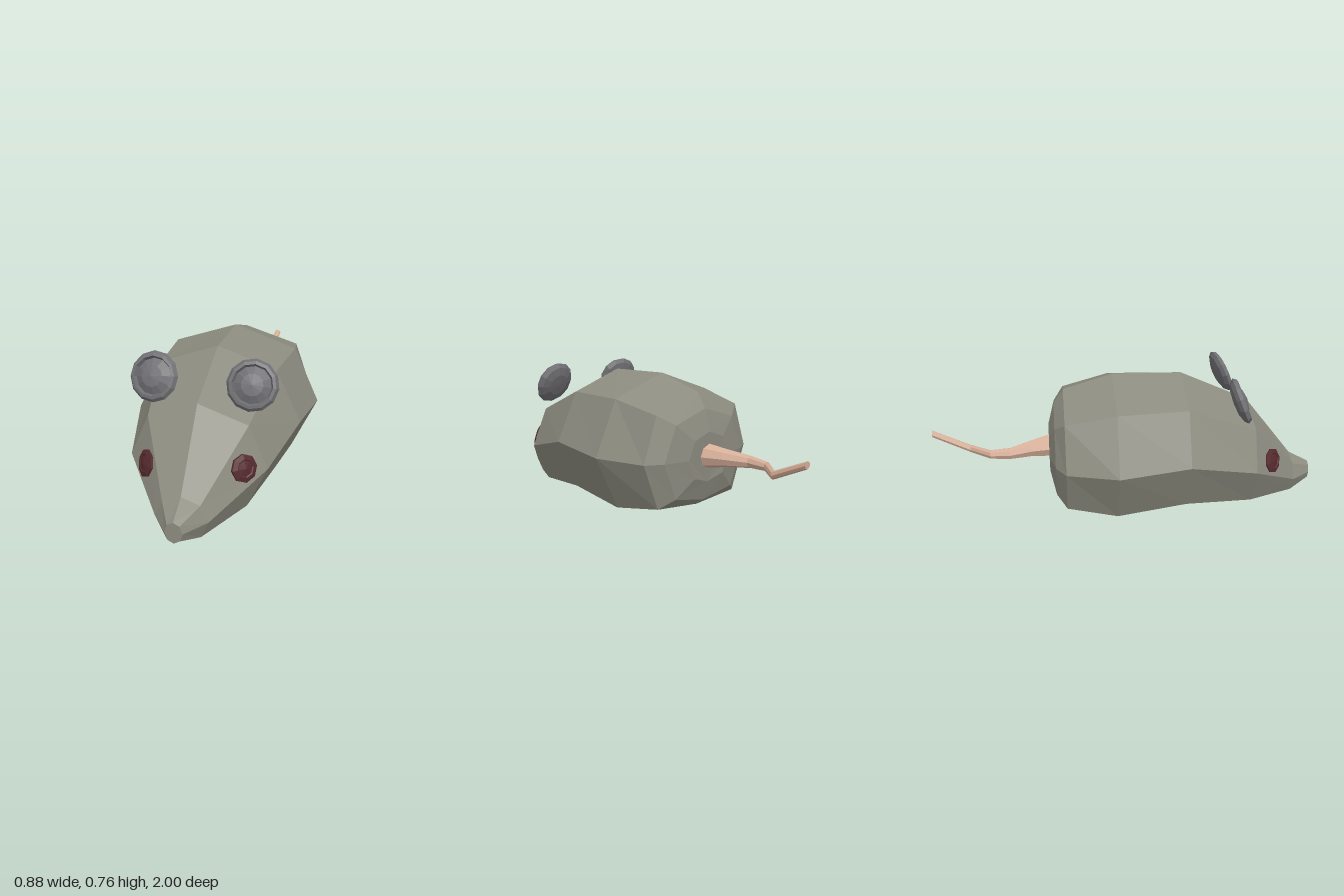
import * as THREE from 'three';

const mat = (color) => new THREE.MeshStandardMaterial({ color, flatShading: true, side: THREE.DoubleSide });

// Skin closed rings of points (back to front, counter-clockwise seen from +z) and cap both ends
function loft(rings) {
  const n = rings[0].length, index = [];
  for (let i = 0; i < rings.length - 1; i++) {
    for (let j = 0; j < n; j++) {
      const k = (j + 1) % n, a = i * n + j, b = i * n + k;
      index.push(a, b, b + n, a, b + n, a + n);
    }
  }
  const last = (rings.length - 1) * n;
  for (let j = 1; j < n - 1; j++) {
    index.push(0, j + 1, j);
    index.push(last, last + j, last + j + 1);
  }
  const g = new THREE.BufferGeometry();
  g.setAttribute('position', new THREE.Float32BufferAttribute(rings.flat(2), 3));
  g.setIndex(index);
  g.computeVertexNormals();
  return g;
}

function part(name, geometry, material) {
  const m = new THREE.Mesh(geometry, material);
  m.name = name;
  return m;
}

// Turned part whose axis points along a normal
function turned(name, profile, sides, material, pos, normal) {
  const pts = profile.map(([r, y]) => new THREE.Vector2(r, y));
  const m = part(name, new THREE.LatheGeometry(pts, sides), material);
  m.position.set(...pos);
  m.quaternion.setFromUnitVectors(new THREE.Vector3(0, 1, 0), new THREE.Vector3(...normal).normalize());
  return m;
}

export function createModel() {
  const group = new THREE.Group();
  const fur = mat(0x8c8c80), earMat = mat(0x717175), eyeMat = mat(0x552a2e), tailMat = mat(0xd6ae98);

  // Body: z, bottom y, lower x/y, side x/y, upper x/y, top y, z of the bottom point
  const sections = [
    [-0.40, 0.23, 0.10, 0.26, 0.14, 0.355, 0.10, 0.445, 0.48, -0.39],
    [-0.37, 0.13, 0.20, 0.17, 0.275, 0.355, 0.20, 0.53, 0.59, -0.36],
    [-0.32, 0.10, 0.27, 0.125, 0.36, 0.355, 0.28, 0.58, 0.665, -0.32],
    [-0.07, 0.00, 0.31, 0.09, 0.44, 0.36, 0.315, 0.635, 0.74, 0.00],
    [0.28, 0.03, 0.29, 0.13, 0.405, 0.385, 0.285, 0.635, 0.735, 0.28],
    [0.63, 0.025, 0.225, 0.10, 0.32, 0.30, 0.232, 0.50, 0.58, 0.63],
    [0.89, 0.045, 0.085, 0.075, 0.12, 0.152, 0.085, 0.228, 0.26, 0.89],
    [1.00, 0.10, 0.028, 0.115, 0.04, 0.15, 0.028, 0.185, 0.20, 1.00],
  ];
  const bodyRings = sections.map(([z, b, lx, ly, sx, sy, ux, uy, t, bz]) => [
    [0, b, bz], [lx, ly, z], [sx, sy, z], [ux, uy, z],
    [0, t, z], [-ux, uy, z], [-sx, sy, z], [-lx, ly, z],
  ]);
  group.add(part('body', loft(bodyRings), fur));

  // Tail: x, y, z, radius from the tip to the root
  const tail = [
    [0.05, 0.425, -1.0, 0.018], [0.03, 0.343, -0.81, 0.02], [-0.065, 0.348, -0.70, 0.023],
    [-0.072, 0.352, -0.60, 0.03], [-0.03, 0.358, -0.49, 0.044], [0.0, 0.36, -0.385, 0.062],
  ];
  const tailRings = tail.map(([x, y, z, r]) => Array.from({ length: 8 }, (_, j) => {
    const a = (j / 8) * Math.PI * 2;
    return [x + r * Math.cos(a), y + r * Math.sin(a), z];
  }));
  group.add(part('tail', loft(tailRings), tailMat));

  // Ears: shallow shell with a raised rim around a swollen inside
  const earProfile = [[0, -0.028], [0.06, -0.024], [0.1, -0.01], [0.118, 0.008], [0.106, 0.026],
    [0.092, 0.03], [0.084, 0.012], [0.05, 0.034], [0, 0.042]];
  for (const s of [1, -1]) {
    const name = s > 0 ? 'leftEar' : 'rightEar';
    group.add(turned(name, earProfile, 12, earMat, [s * 0.227, 0.652, 0.535], [s * 0.1, 0.38, 0.9]));
  }

  // Eyes: stepped octagonal discs lying on the cheeks
  const eyeProfile = [[0, -0.015], [0.064, -0.012], [0.064, 0.004], [0.042, 0.012], [0.036, 0.008], [0, 0.016]];
  group.add(turned('leftEye', eyeProfile, 8, eyeMat, [0.232, 0.333, 0.71], [0.7, 0.28, 0.66]));
  group.add(turned('rightEye', eyeProfile, 8, eyeMat, [-0.212, 0.315, 0.735], [-0.7, 0.28, 0.66]));

  return group;
}
